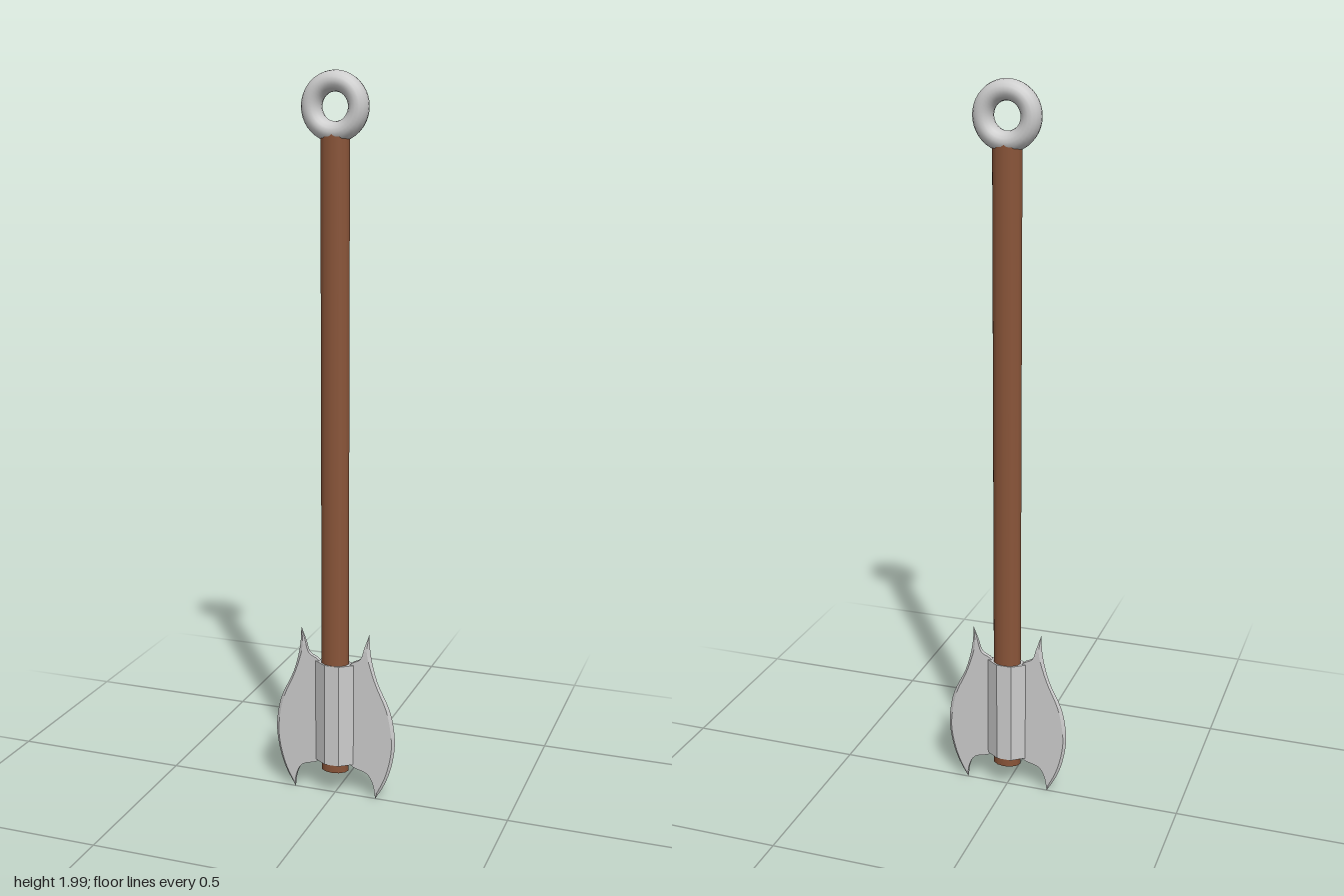
import * as THREE from 'three';

const grey = new THREE.MeshStandardMaterial({ color: 0xcccccc });
const greyFlat = new THREE.MeshStandardMaterial({ color: 0xcccccc, flatShading: true });
const wood = new THREE.MeshStandardMaterial({ color: 0x8a5539 });

const curve = (pts) => new THREE.CatmullRomCurve3(pts.map(([x, y]) => new THREE.Vector3(x, y, 0)));

// Crescent blade: flat plate between an inner and an outer curve, sharpened along the outer edge
function bladeGeometry() {
  const outer = curve([[.12, .012], [.147, .06], [.165, .11], [.176, .18], [.172, .235],
    [.16, .285], [.125, .36], [.108, .42], [.102, .46], [.1, .5]]);
  const inner = curve([[.12, .012], [.116, .05], [.098, .085], [.045, .108], [.045, .2],
    [.045, .3], [.045, .405], [.075, .425], [.087, .46], [.1, .5]]);
  const steps = 36, ring = 5, pos = [], idx = [];
  for (let i = 0; i <= steps; i++) {
    const o = outer.getPoint(i / steps), n = inner.getPoint(i / steps);
    const width = o.distanceTo(n);
    const s = o.clone().lerp(n, width > 0 ? Math.min(0.5, 0.009 / width) : 0);
    const h = Math.min(0.006, width * 0.35);
    pos.push(n.x, n.y, h, s.x, s.y, h, o.x, o.y, 0, s.x, s.y, -h, n.x, n.y, -h);
    if (i === steps) break;
    for (let j = 0; j < ring; j++) {
      const a = i * ring + j, b = i * ring + (j + 1) % ring;
      idx.push(a, b, b + ring, a, b + ring, a + ring);
    }
  }
  const g = new THREE.BufferGeometry();
  g.setAttribute('position', new THREE.Float32BufferAttribute(pos, 3));
  g.setIndex(idx);
  return g.toNonIndexed();
}

export function createModel() {
  const model = new THREE.Group();
  const add = (name, geometry, material) => {
    const mesh = new THREE.Mesh(geometry, material);
    mesh.name = name;
    model.add(mesh);
    return mesh;
  };

  // Wooden shaft, slightly flattened front to back
  const shaft = add('shaft', new THREE.CylinderGeometry(0.04, 0.04, 1.76, 12), wood);
  shaft.scale.z = 0.75;
  shaft.position.y = 0.965;

  // Ring at the top
  const ring = add('ring', new THREE.TorusGeometry(0.0635, 0.027, 16, 40), grey);
  ring.scale.z = 1.15;
  ring.position.y = 1.9095;

  // Faceted metal sleeve holding the blades
  const section = new THREE.Shape([[.056, -.006], [.056, .006], [.021, .031], [-.021, .031],
    [-.056, .006], [-.056, -.006], [-.021, -.031], [.021, -.031]]
    .map(([x, y]) => new THREE.Vector2(x, y)));
  const sleeveGeometry = new THREE.ExtrudeGeometry(section, { depth: 0.297, bevelEnabled: false });
  sleeveGeometry.rotateX(-Math.PI / 2);
  add('sleeve', sleeveGeometry, greyFlat).position.y = 0.108;

  // Two opposite blades
  const blade = bladeGeometry();
  blade.computeVertexNormals();
  add('leftBlade', blade, greyFlat);
  add('rightBlade', blade, greyFlat).rotation.y = Math.PI;

  return model;
}
